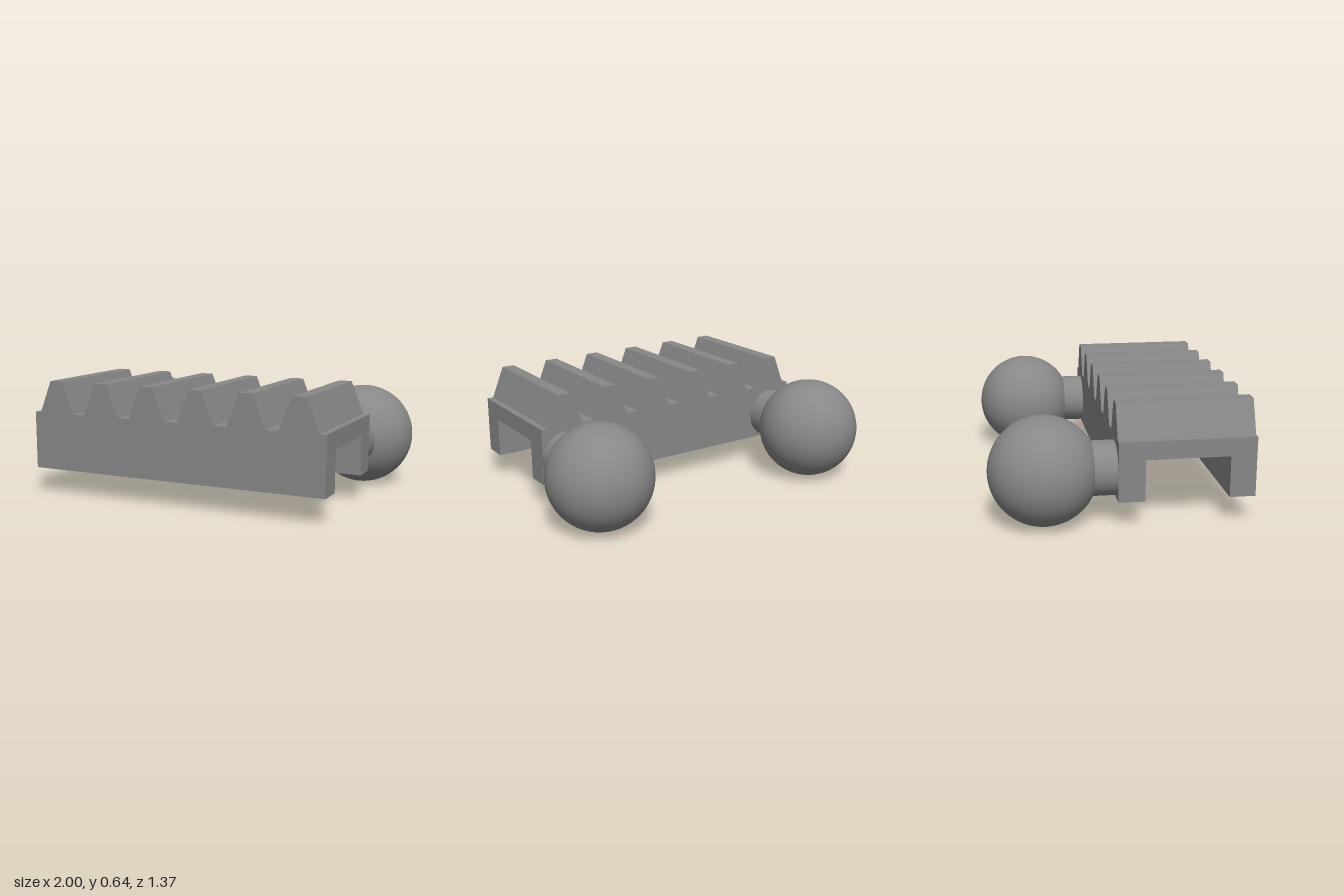
import * as THREE from 'three';

const PITCH = 0.2857;       // tooth spacing
const HALF = PITCH * 3;     // half length of the rack
const BOTTOM = 0.145, CEILING = 0.366, ROOT = 0.463, TIP = 0.64;
const BACK = -0.031;

// Toothed bar with a square channel along its underside, as one closed solid
function rackGeometry() {
  const outline = [[-HALF, BOTTOM], [HALF, BOTTOM], [HALF, ROOT]];
  for (let i = 5; i >= 0; i--) {
    const x = (i - 2.5) * PITCH;
    outline.push([x + 0.107, ROOT], [x + 0.036, TIP], [x - 0.036, TIP], [x - 0.107, ROOT]);
  }
  outline.push([-HALF, ROOT]);
  const shape = new THREE.Shape(outline.map(([x, y]) => new THREE.Vector2(x, y)));
  const geometry = new THREE.ExtrudeGeometry(shape, { depth: 5, steps: 5, bevelEnabled: false });

  // Each extrusion ring gets its own depth and underside height;
  // paired rings at one depth form the channel walls
  const ringZ = [BACK, 0.107, 0.107, 0.547, 0.547, 0.684];
  const ringBottom = [BOTTOM, BOTTOM, CEILING, CEILING, BOTTOM, BOTTOM];
  const p = geometry.attributes.position;
  for (let i = 0; i < p.count; i++) {
    const ring = Math.round(p.getZ(i));
    if (p.getY(i) < CEILING) p.setY(i, ringBottom[ring]);
    p.setZ(i, ringZ[ring]);
  }
  geometry.computeVertexNormals();
  return geometry;
}

export function createModel() {
  const model = new THREE.Group();
  model.name = 'gearRackWithBalls';
  const grey = new THREE.MeshStandardMaterial({ color: 0x888888 });
  grey.name = 'grey';

  const add = (parent, name, geometry, x = 0, y = 0, z = 0) => {
    const mesh = new THREE.Mesh(geometry, grey);
    mesh.name = name;
    mesh.position.set(x, y, z);
    parent.add(mesh);
    return mesh;
  };

  add(model, 'rack', rackGeometry());

  // Ball joints on short round necks behind the rack
  const radius = 0.286, ballZ = -0.398, neckEnd = -0.16;
  const ball = new THREE.SphereGeometry(radius, 64, 40);
  const neck = new THREE.CylinderGeometry(0.143, 0.143, BACK - neckEnd, 48, 1, true).rotateX(Math.PI / 2);
  for (const side of [1, -1]) {
    const joint = new THREE.Group();
    joint.name = side > 0 ? 'leftBallJoint' : 'rightBallJoint';
    joint.position.set(side * PITCH * 2.5, 0.288, 0);
    add(joint, 'ball', ball, 0, 0, ballZ);
    add(joint, 'neck', neck, 0, 0, (BACK + neckEnd) / 2);
    model.add(joint);
  }
  return model;
}
